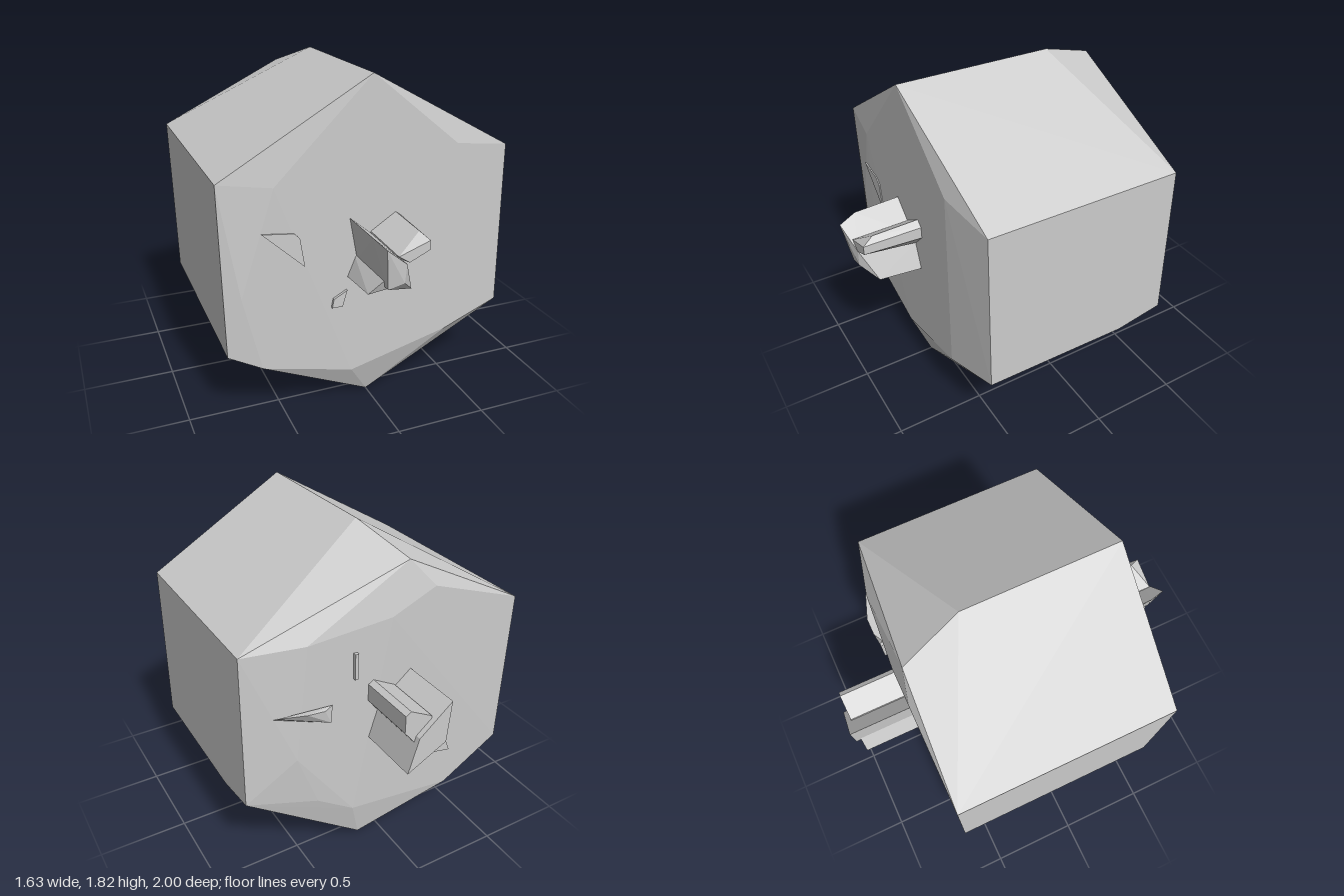
import * as THREE from 'three';
import { ConvexGeometry } from 'three/addons/geometries/ConvexGeometry.js';

const material = new THREE.MeshStandardMaterial({ color: 0xcccccc, flatShading: true });

// A faceted chunk: the convex solid around a few corner points.
function chunk(name, corners) {
  const points = corners.map((c) => new THREE.Vector3(...c));
  const mesh = new THREE.Mesh(new ConvexGeometry(points), material);
  mesh.name = name;
  return mesh;
}

// A chunk spanning two cross-sections; every section corner is [x, y, z?].
function blade(name, base, baseZ, end, endZ) {
  const at = (z) => ([x, y, ownZ]) => [x, y, ownZ ?? z];
  return chunk(name, [...base.map(at(baseZ)), ...end.map(at(endZ))]);
}

export function createModel() {
  const model = new THREE.Group();

  // Rough six-sided block with chipped ends
  model.add(chunk('block', [
    // hexagon, front end
    [-0.02, 1.82, 0.64], [0.8, 1.37, 0.59], [0.81, 0.43, 0.59],
    [0, 0, 0.57], [-0.8, 0.4, 0.61], [-0.82, 1.34, 0.61],
    // hexagon, back end
    [-0.02, 1.82, -0.25], [0.8, 1.37, -0.53], [0.81, 0.47, -0.53],
    [0.81, 0.42, -0.25], [0, 0, -0.07], [-0.8, 0.4, -0.645], [-0.82, 1.34, -0.645],
    // chipped corners
    [-0.12, 1.7, -0.6], [0.15, 0.03, -0.6], [-0.42, 0.18, 0.55],
    // flat of the front face
    [-0.54, 1.3, 0.64], [-0.72, 0.73, 0.635], [-0.62, 0.31, 0.635],
    [-0.12, 0.19, 0.64], [0.45, 0.33, 0.64], [0.47, 1.42, 0.64],
    // flat of the back face
    [-0.26, 1.54, -0.645], [0, 1.43, -0.645], [0.47, 1.38, -0.61], [0.54, 0.72, -0.61],
    [0.42, 0.39, -0.61], [0.21, 0.26, -0.635], [-0.44, 0.18, -0.64],
  ]));

  // Crossed blades at the front, tapering to broken tips
  const frontAxle = new THREE.Group();
  frontAxle.name = 'frontAxle';
  frontAxle.add(
    blade('frontFallingBlade',
      [[-0.14, 1.09], [-0.09, 0.82], [0.12, 0.75], [0.06, 0.92], [-0.04, 0.99]], 0.6,
      [[-0.13, 1.08, 0.9], [-0.1, 1.05, 1], [-0.07, 0.82], [0.02, 0.84], [0.1, 0.76, 0.88],
        [0.03, 0.94], [-0.04, 0.98]], 0.96),
    blade('frontUpperBlade',
      [[-0.02, 1.0], [0.12, 1.09], [0.16, 1.06], [0.16, 0.99], [0.06, 0.89], [-0.03, 0.9]], 0.6,
      [[-0.02, 0.99], [0.12, 1.08, 0.9], [0.15, 1.05], [0.15, 1.0], [0.04, 0.95]], 0.965),
    blade('frontLowerBlade',
      [[-0.15, 0.76], [-0.1, 0.88], [0.03, 0.92], [0.04, 0.8]], 0.6,
      [[-0.14, 0.77, 0.88], [-0.07, 0.87], [0.04, 0.9], [-0.02, 0.82]], 0.94),
  );
  model.add(frontAxle);

  // Crossed blades at the back, cut off square
  const backAxle = new THREE.Group();
  backAxle.name = 'backAxle';
  const fallingSection = [[-0.13, 1.09], [-0.11, 0.85], [0.12, 0.73], [0.06, 0.93], [-0.03, 1.0]];
  const upperSection = [[-0.03, 1.02], [0.1, 1.09], [0.13, 1.07], [0.13, 0.97], [0.06, 0.88], [-0.04, 0.9]];
  const lowerSection = [[-0.16, 0.76], [-0.11, 0.89], [0.03, 0.9], [-0.02, 0.79]];
  backAxle.add(
    blade('backFallingBlade', fallingSection, -0.6, fallingSection, -1),
    blade('backUpperBlade', upperSection, -0.6, upperSection, -0.97),
    blade('backLowerBlade', lowerSection, -0.6, lowerSection, -0.97),
  );
  model.add(backAxle);

  // Thin flakes on the faces
  const largeFlake = [[-0.61, 1.07], [-0.44, 1.05], [-0.41, 1.02], [-0.385, 0.86]];
  const smallFlake = [[-0.24, 0.6], [-0.18, 0.6], [-0.155, 0.69], [-0.23, 0.65]];
  const sliver = [[0.2, 1.28], [0.22, 1.28], [0.22, 1.13], [0.2, 1.13]];
  model.add(
    blade('largeFrontFlake', largeFlake, 0.6, largeFlake, 0.646),
    blade('smallFrontFlake', smallFlake, 0.6, smallFlake, 0.655),
    blade('backSliver', sliver, -0.6, sliver, -0.65),
  );

  // Wedge standing out of the back face
  model.add(chunk('backWedge', [
    [0.65, 1.02, -0.61], [0.65, 0.99, -0.57], [0.5, 1.02, -0.66], [0.4, 1.01, -0.66],
    [0.34, 1.01, -0.63], [0.36, 0.92, -0.65], [0.38, 0.92, -0.58],
  ]));

  return model;
}
